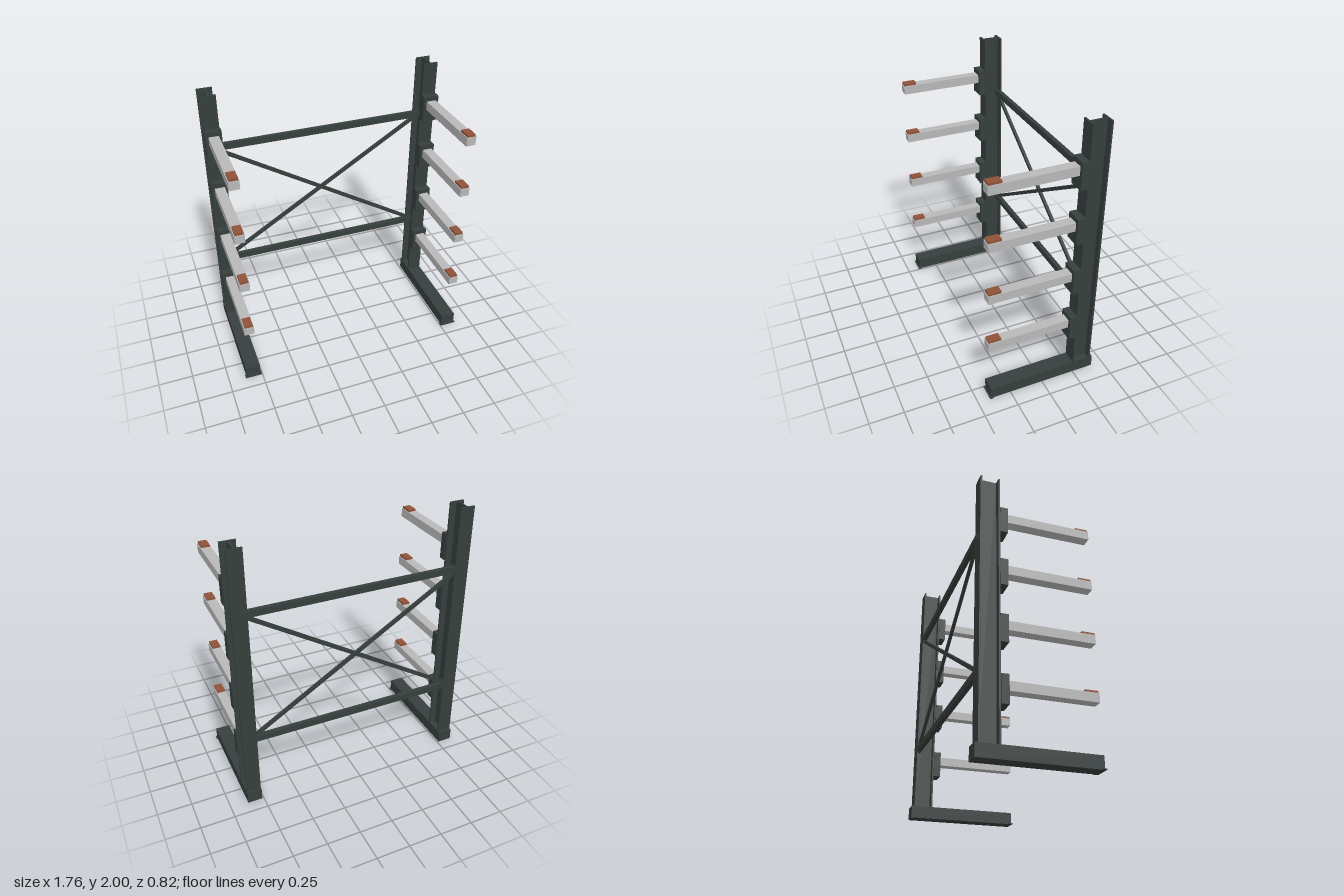
import * as THREE from 'three';

const material = (name, color) => {
  const m = new THREE.MeshStandardMaterial({ color });
  m.name = name;
  return m;
};

// Box given by its lower and upper corners
function box(parent, name, mat, [x0, y0, z0], [x1, y1, z1]) {
  const mesh = new THREE.Mesh(new THREE.BoxGeometry(x1 - x0, y1 - y0, z1 - z0), mat);
  mesh.position.set((x0 + x1) / 2, (y0 + y1) / 2, (z0 + z1) / 2);
  mesh.name = name;
  parent.add(mesh);
  return mesh;
}

export function createModel() {
  const frame = material('dark frame paint', 0x363f3d);
  const steel = material('light grey steel', 0xb8b8b8);
  const padMat = material('brown pad', 0x8f5238);

  const rack = new THREE.Group();
  rack.name = 'cantileverRack';

  for (const side of [-1, 1]) {
    const upright = new THREE.Group();
    upright.name = side > 0 ? 'leftUpright' : 'rightUpright';
    upright.position.x = side * 0.816;
    rack.add(upright);

    // I-section column: two flanges and a web
    box(upright, 'frontFlange', frame, [-0.054, 0.09, -0.262], [0.054, 2, -0.25]);
    box(upright, 'backFlange', frame, [-0.054, 0.09, -0.39], [0.054, 2, -0.378]);
    box(upright, 'web', frame, [-0.006, 0.09, -0.378], [0.006, 2, -0.262]);

    // Base beam with its toe plate
    box(upright, 'base', frame, [-0.054, 0, -0.41], [0.054, 0.09, 0.4]);
    box(upright, 'toePlate', frame, [-0.062, 0, 0.38], [0.062, 0.008, 0.41]);

    // Arms with brackets and end pads
    for (let i = 0; i < 4; i++) {
      const arm = new THREE.Group();
      arm.name = 'arm' + (i + 1);
      arm.position.y = 0.436 + i * 0.4085;
      upright.add(arm);
      box(arm, 'bracket', frame, [-0.058, -0.098, -0.25], [0.058, 0.098, -0.197]);
      box(arm, 'armBar', steel, [-0.036, -0.001, -0.197], [0.036, 0.064, 0.408]);
      box(arm, 'endCap', steel, [-0.029, 0.006, 0.408], [0.029, 0.058, 0.411]);
      box(arm, 'pad', padMat, [-0.03, 0.064, 0.314], [0.03, 0.08, 0.405]);
    }
  }

  // Horizontal ties
  for (const y of [0.55, 1.546]) {
    box(rack, 'tieBeam', frame, [-0.81, y - 0.024, -0.391], [0.81, y + 0.024, -0.359]);
  }

  // Crossed diagonal braces
  for (const s of [-1, 1]) {
    const brace = box(rack, 'diagonalBrace', frame, [-0.9, -0.013, -0.385], [0.9, 0.013, -0.365]);
    brace.position.y = 1.048;
    brace.rotation.z = s * Math.atan2(0.94, 1.53);
  }

  return rack;
}
